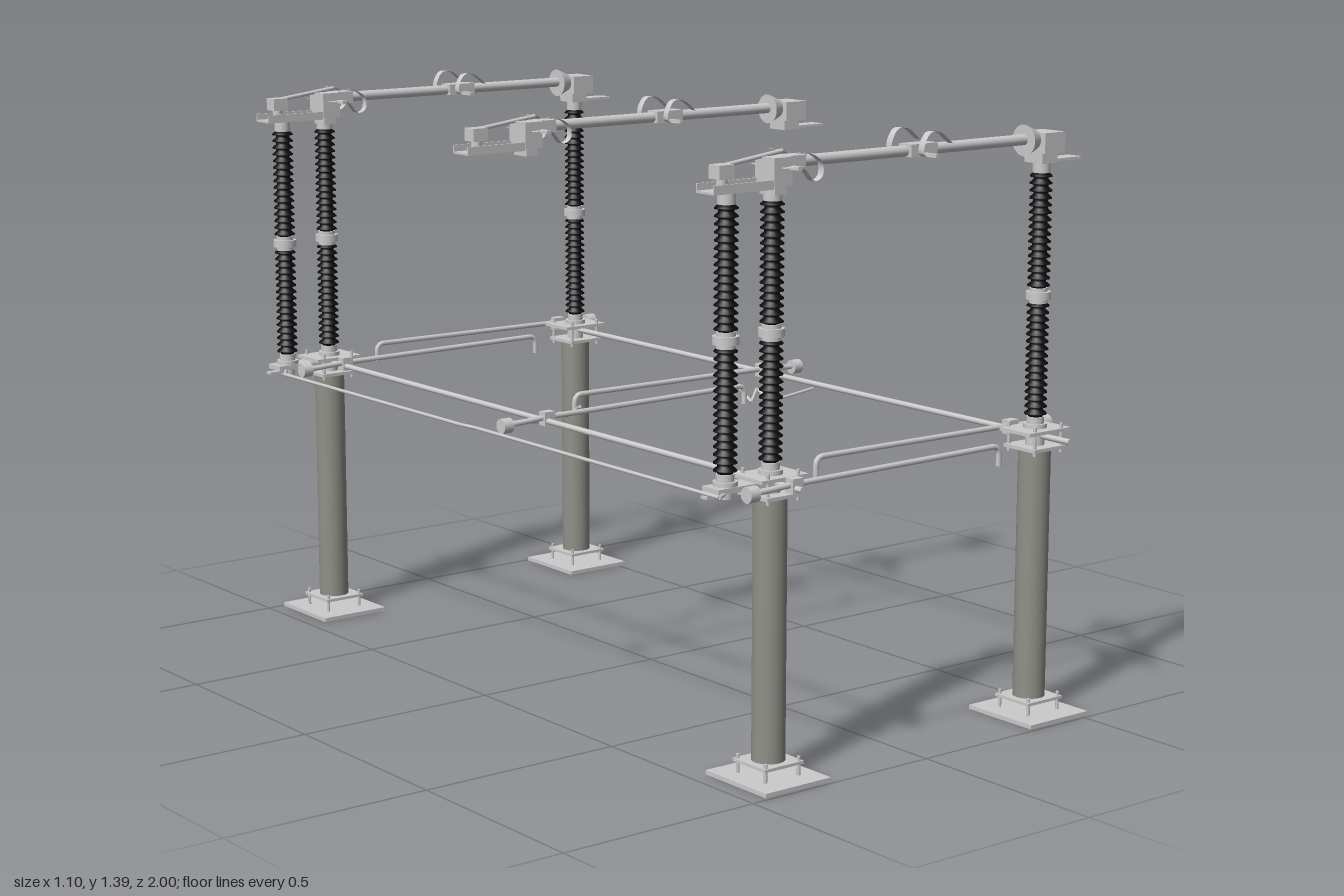
import * as THREE from 'three';

const V = (x, y, z) => new THREE.Vector3(x, y, z);
const mat = (color, side = THREE.FrontSide) => new THREE.MeshStandardMaterial({ color, side });
const steel = mat(0xcccccc);
const sheet = mat(0xcccccc, THREE.DoubleSide);
const concrete = mat(0x8f9188);
const black = mat(0x0c0c0c);

function add(parent, name, geometry, x = 0, y = 0, z = 0, material = steel) {
  const mesh = new THREE.Mesh(geometry, material);
  mesh.name = name;
  mesh.position.set(x, y, z);
  parent.add(mesh);
  return mesh;
}

// Box given by its minimum and maximum corners
function box(parent, name, x0, x1, y0, y1, z0, z1) {
  return add(parent, name, new THREE.BoxGeometry(x1 - x0, y1 - y0, z1 - z0),
    (x0 + x1) / 2, (y0 + y1) / 2, (z0 + z1) / 2);
}

// Upright cylinder from y0 to y1
function post(parent, name, r, x, y0, y1, z = 0, sides = 24, material = steel) {
  return add(parent, name, new THREE.CylinderGeometry(r, r, y1 - y0, sides), x, (y0 + y1) / 2, z, material);
}

// Straight round rod between two points, optionally tapered
function rod(parent, name, a, b, r, r2 = r, sides = 12) {
  const dir = b.clone().sub(a);
  const mesh = add(parent, name, new THREE.CylinderGeometry(r2, r, dir.length(), sides));
  mesh.position.copy(a).add(b).multiplyScalar(0.5);
  mesh.quaternion.setFromUnitVectors(V(0, 1, 0), dir.normalize());
  return mesh;
}

function linkage(parent, name, points, r) {
  const group = new THREE.Group();
  group.name = name;
  for (let i = 1; i < points.length; i++) rod(group, name + 'Rod', points[i - 1], points[i], r, r, 8);
  parent.add(group);
}

// Thin bent strap: a curve in the xy plane given a width along z
function strap(parent, name, points, z, width) {
  const pts = new THREE.CatmullRomCurve3(points.map(([x, y]) => V(x, y, 0))).getPoints(20);
  const pos = [], index = [];
  pts.forEach((p, i) => {
    pos.push(p.x, p.y, z - width / 2, p.x, p.y, z + width / 2);
    if (i) index.push(2 * i - 2, 2 * i - 1, 2 * i, 2 * i, 2 * i - 1, 2 * i + 1);
  });
  const g = new THREE.BufferGeometry();
  g.setAttribute('position', new THREE.Float32BufferAttribute(pos, 3));
  g.setIndex(index);
  g.computeVertexNormals();
  add(parent, name, g, 0, 0, 0, sheet);
}

// One stack of insulator sheds
function shedGeometry(height, count) {
  const step = height / count, p = [new THREE.Vector2(0, 0)];
  for (let i = 0; i < count; i++) {
    const y = i * step;
    p.push(new THREE.Vector2(0.017, y), new THREE.Vector2(0.017, y + step * 0.3),
      new THREE.Vector2(0.026, y + step * 0.4), new THREE.Vector2(0.026, y + step * 0.55));
  }
  p.push(new THREE.Vector2(0.017, height), new THREE.Vector2(0, height));
  return new THREE.LatheGeometry(p, 20);
}

function insulator(parent, name, x, bottom, top) {
  const g = new THREE.Group();
  g.name = name;
  const mid = (bottom + top) / 2, h = mid - 0.015 - bottom - 0.025;
  post(g, 'bottomFlange', 0.027, x, bottom, bottom + 0.01);
  post(g, 'bottomCap', 0.02, x, bottom + 0.01, bottom + 0.026);
  post(g, 'middleCap', 0.021, x, mid - 0.018, mid + 0.018);
  post(g, 'middleFlange', 0.029, x, mid - 0.009, mid + 0.009);
  post(g, 'topCap', 0.02, x, top - 0.026, top);
  for (const y of [bottom + 0.025, mid + 0.015]) add(g, 'sheds', shedGeometry(h, 16), x, y, 0, black);
  parent.add(g);
}

// Column with foot plate, anchor bolts and head plates
function column(parent, x) {
  const g = new THREE.Group();
  g.name = 'column';
  g.position.x = x;
  box(g, 'footPlate', -0.092, 0.092, 0, 0.01, -0.103, 0.103);
  box(g, 'baseFlange', -0.055, 0.055, 0.036, 0.043, -0.055, 0.055);
  post(g, 'shaft', 0.0375, 0, 0.043, 0.64, 0, 32, concrete);
  box(g, 'lowerHeadPlate', -0.05, 0.05, 0.633, 0.641, -0.05, 0.05);
  box(g, 'upperHeadPlate', -0.065, 0.065, 0.673, 0.681, -0.05, 0.05);
  post(g, 'headSpacer', 0.022, 0, 0.641, 0.673);
  for (const sx of [-1, 1]) for (const sz of [-1, 1]) {
    post(g, 'anchorBolt', 0.004, sx * 0.047, 0.01, 0.053, sz * 0.047, 8);
    post(g, 'headBolt', 0.004, sx * 0.042, 0.624, 0.692, sz * 0.042, 8);
  }
  parent.add(g);
}

// Conductor tube with its contact heads
function topAssembly(parent) {
  const g = new THREE.Group();
  g.name = 'conductor';
  rod(g, 'conductorTube', V(-0.35, 1.347, 0), V(0.4, 1.347, 0), 0.0125, 0.0125, 20);

  // Fixed contact head
  rod(g, 'contactBell', V(0.37, 1.345, 0), V(0.41, 1.345, 0), 0.036, 0.019, 20);
  box(g, 'fixedHead', 0.402, 0.465, 1.315, 1.362, -0.036, 0.036);
  box(g, 'fixedHeadNeck', 0.402, 0.45, 1.292, 1.315, -0.028, 0.028);
  box(g, 'terminalPad', 0.42, 0.535, 1.294, 1.3, -0.021, 0.021);

  // Hinged contact head with its carrier beam
  box(g, 'hingeHead', -0.387, -0.338, 1.3, 1.362, -0.032, 0.032);
  box(g, 'hingeNeck', -0.38, -0.348, 1.282, 1.3, -0.025, 0.025);
  box(g, 'hingeJaw', -0.338, -0.29, 1.332, 1.362, -0.02, 0.02);
  box(g, 'carrierBeam', -0.547, -0.387, 1.296, 1.301, -0.03, 0.03);
  for (const s of [-1, 1]) box(g, 'carrierFlange', -0.547, -0.387, 1.301, 1.316, s * 0.028 - 0.002, s * 0.028 + 0.002);
  box(g, 'driveBlock', -0.523, -0.483, 1.325, 1.355, -0.018, 0.018);
  post(g, 'driveShaft', 0.012, -0.503, 1.296, 1.33);
  rod(g, 'driveLink', V(-0.49, 1.35, -0.012), V(-0.33, 1.37, -0.012), 0.005);

  // Middle clamp and arcing straps
  box(g, 'middleClamp', 0.01, 0.088, 1.334, 1.362, -0.02, 0.02);
  box(g, 'strapBar', 0.045, 0.055, 1.334, 1.342, -0.06, 0.06);
  box(g, 'hingeStrapBar', -0.345, -0.333, 1.335, 1.343, -0.06, 0.06);
  for (const s of [-1, 1]) {
    strap(g, 'middleStrap', [[0.05, 1.336], [0.012, 1.342], [0.012, 1.365], [0.03, 1.39], [0.06, 1.388], [0.094, 1.363]], s * 0.052, 0.018);
    strap(g, 'hingeStrap', [[-0.38, 1.342], [-0.33, 1.34], [-0.3, 1.31], [-0.278, 1.318], [-0.276, 1.345], [-0.3, 1.365], [-0.34, 1.372]], s * 0.05, 0.018);
  }
  parent.add(g);
}

// Swinging earthing arm with a counterweight and a hooked tip
function earthArm(parent, pivotX, weightX, tipX, z) {
  const g = new THREE.Group();
  g.name = 'earthingArm';
  const d = Math.sign(tipX - weightX);
  const path = new THREE.CurvePath();
  const bendX = tipX - d * 0.02;
  path.add(new THREE.LineCurve3(V(weightX, 0.666, z), V(pivotX, 0.672, z)));
  path.add(new THREE.LineCurve3(V(pivotX, 0.672, z), V(bendX, 0.676, z)));
  path.add(new THREE.QuadraticBezierCurve3(V(bendX, 0.676, z), V(tipX, 0.676, z), V(tipX, 0.656, z)));
  path.add(new THREE.LineCurve3(V(tipX, 0.656, z), V(tipX, 0.63, z)));
  add(g, 'armTube', new THREE.TubeGeometry(path, 80, 0.0065, 10, false), 0, 0, 0, sheet);
  rod(g, 'counterweight', V(weightX - 0.013, 0.666, z), V(weightX + 0.013, 0.666, z), 0.018, 0.018, 16);
  box(g, 'pivotClamp', pivotX - 0.015, pivotX + 0.015, 0.653, 0.686, z - 0.012, z + 0.012);
  parent.add(g);
}

export function createModel() {
  const model = new THREE.Group();
  model.name = 'disconnectSwitch';
  const leftX = -0.365, rightX = 0.428;

  [-0.893, -0.007, 0.888].forEach((z, i) => {
    const pole = new THREE.Group();
    pole.name = 'pole';
    pole.position.z = z;
    topAssembly(pole);
    earthArm(pole, rightX, 0.535, -0.167, -0.08);
    earthArm(pole, leftX, -0.485, 0.235, 0.08);
    if (i !== 1) {
      // Outer poles stand on columns with insulators
      for (const x of [leftX, rightX]) {
        column(pole, x);
        insulator(pole, 'supportInsulator', x, 0.681, 1.295);
      }
      insulator(pole, 'driveInsulator', -0.49, 0.672, 1.297);
      box(pole, 'driveBracket', -0.53, -0.3, 0.66, 0.672, -0.028, 0.028);
      post(pole, 'driveBearing', 0.018, -0.49, 0.645, 0.66);
      box(pole, 'driveLever', -0.548, -0.48, 0.65, 0.656, -0.01, 0.01);
    }
    model.add(pole);
  });

  // Long shafts tying the poles together
  for (const x of [-0.37, 0.428]) rod(model, 'earthingShaft', V(x, 0.664, -1), V(x, 0.664, 1), 0.007);
  linkage(model, 'driveTieRod', [V(-0.515, 0.66, -0.86), V(-0.543, 0.66, -0.82), V(-0.543, 0.66, -0.02),
    V(-0.537, 0.66, 0.03), V(-0.54, 0.66, 0.93), V(-0.515, 0.66, 0.915)], 0.0045);

  // Operating linkages at the middle pole, one turned half round
  const link = [[-0.4, 0.64, -0.075], [-0.265, 0.624, -0.075], [-0.25, 0.65, -0.035], [-0.2, 0.63, -0.075], [-0.2, 0.662, -0.02]];
  linkage(model, 'operatingLinkage', link.map(p => V(...p)), 0.004);
  linkage(model, 'operatingLinkage', link.map(([x, y, z]) => V(0.065 - x, y, -0.01 - z)), 0.004);
  return model;
}
